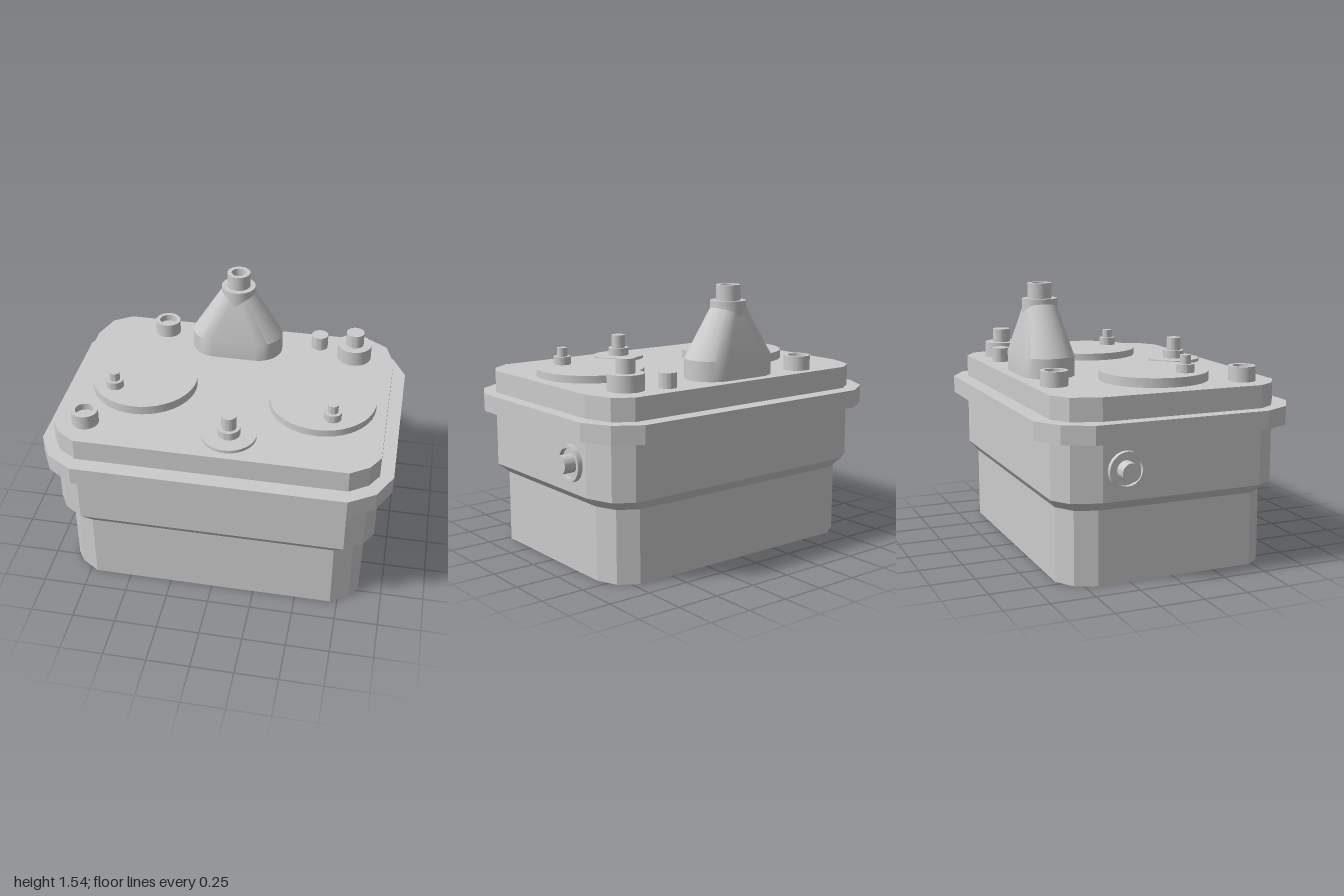
import * as THREE from 'three';
import { toCreasedNormals } from 'three/addons/utils/BufferGeometryUtils.js';

const grey = new THREE.MeshStandardMaterial({ color: 0xcccccc });
const TOP = 1.027; // height of the lid surface

// Closed loft through rings of [x, y, z] points running from +x towards +z, bottom to top
function loft(rings, crease) {
  const pos = [];
  const n = rings[0].length;
  const tri = (a, b, c) => pos.push(...a, ...b, ...c);
  for (let r = 0; r < rings.length - 1; r++) {
    for (let i = 0; i < n; i++) {
      const j = (i + 1) % n;
      const [lo, hi] = [rings[r], rings[r + 1]];
      tri(lo[i], hi[i], lo[j]);
      tri(lo[j], hi[i], hi[j]);
    }
  }
  const middle = ring => [0, 1, 2].map(k => ring.reduce((s, p) => s + p[k], 0) / n);
  const bottom = rings[0], top = rings[rings.length - 1];
  for (let i = 0; i < n; i++) {
    const j = (i + 1) % n;
    tri(middle(bottom), bottom[i], bottom[j]);
    tri(middle(top), top[j], top[i]);
  }
  const g = new THREE.BufferGeometry();
  g.setAttribute('position', new THREE.Float32BufferAttribute(pos, 3));
  g.computeVertexNormals();
  return crease ? toCreasedNormals(g, crease) : g;
}

// Rectangle with two-facet corners; zf and zb are where the sides end at front and back
function outline(y, hx, hz, fx, mx, mz, zf, zb) {
  return [
    [hx, zf], [mx, mz], [fx, hz], [-fx, hz], [-mx, mz], [-hx, zf],
    [-hx, -zb], [-mx, -mz], [-fx, -hz], [fx, -hz], [mx, -mz], [hx, -zb],
  ].map(([x, z]) => [x, y, z]);
}

// Stadium ring: two half circles joined by a straight of half length s
function stadium(y, r, s, cx, cz, steps = 24) {
  const ring = [];
  for (const side of [1, -1]) {
    for (let i = 0; i <= steps; i++) {
      const a = -Math.PI / 2 + Math.PI * i / steps + (side < 0 ? Math.PI : 0);
      ring.push([cx + side * s + r * Math.cos(a), y, cz + r * Math.sin(a)]);
    }
  }
  return ring;
}

// Turned part from [radius, height] points, with sharp edges
function turned(name, points) {
  const lathe = new THREE.LatheGeometry(points.map(p => new THREE.Vector2(...p)), 40);
  const mesh = new THREE.Mesh(toCreasedNormals(lathe, 0.6), grey);
  mesh.name = name;
  return mesh;
}

// Stepped profile: each step is [radius, top height above the base]
function steps(list) {
  const points = [[0, 0]];
  let y = 0;
  for (const [r, h] of list) {
    points.push([r, y], [r, h]);
    y = h;
  }
  return [...points, [0, y]];
}

export function createModel() {
  const model = new THREE.Group();
  const add = (name, geometry) => {
    const mesh = new THREE.Mesh(geometry, grey);
    mesh.name = name;
    model.add(mesh);
  };

  // Case: narrow lower box, short flare, wider upper box
  const lower = y => outline(y, 0.862, 0.618, 0.71, 0.815, 0.55, 0.48, 0.43);
  const upper = y => outline(y, 0.923, 0.66, 0.765, 0.87, 0.59, 0.5, 0.43);
  add('case', loft([lower(0), lower(0.415), upper(0.47), upper(TOP)]));

  // Flange around the case
  const flange = y => outline(y, 1, 0.75, 0.77, 0.918, 0.657, 0.5, 0.5);
  add('flange', loft([flange(0.797), flange(0.9)]));

  // Stepped fittings on the lid
  const fittings = [
    ['leftCover', -0.5, 0.052, [[0.306, 0.052]]],
    ['rightCover', 0.55, 0.065, [[0.308, 0.042]]],
    ['leftCoverTerminal', -0.65, 0.175, [[0.05, 0.098], [0.03, 0.148]]],
    ['rightCoverTerminal', 0.625, 0.245, [[0.05, 0.088], [0.03, 0.138]]],
    ['frontTerminal', 0.075, 0.46, [[0.154, 0.018], [0.063, 0.064], [0.042, 0.143]]],
    ['backPeg', 0.46, -0.535, [[0.05, 0.084]]],
    ['backTerminal', 0.68, -0.458, [[0.102, 0.092], [0.053, 0.173]]],
  ];
  for (const [name, x, z, list] of fittings) {
    const part = turned(name, steps(list));
    part.position.set(x, TOP, z);
    model.add(part);
  }

  // Hollow sockets
  for (const [name, x, z] of [['backSocket', -0.498, -0.535], ['frontSocket', -0.745, 0.475]]) {
    const part = turned(name, [[0.076, 0], [0.076, 0.084], [0.052, 0.084], [0.052, 0.045], [0, 0.045]]);
    part.position.set(x, TOP, z);
    model.add(part);
  }

  // Bushing: oval foot blending into a round neck
  const cx = -0.038, cz = -0.45;
  add('bushing', loft([
    stadium(TOP, 0.15, 0.125, cx, cz),
    stadium(1.14, 0.15, 0.125, cx, cz),
    stadium(1.45, 0.083, 0.0005, cx, cz),
  ], 0.4));

  // Collar and hollow tip of the bushing
  const tip = turned('bushingTip', [
    [0, 1.37], [0.07, 1.37], [0.101, 1.37], [0.101, 1.455], [0.069, 1.455],
    [0.069, 1.542], [0.043, 1.542], [0.043, 1.49], [0, 1.49],
  ]);
  tip.position.set(cx + 0.003, 0, cz);
  model.add(tip);

  // Side terminals: a recessed ring with a pin, mirrored
  for (const side of [1, -1]) {
    const part = turned(side > 0 ? 'leftSideTerminal' : 'rightSideTerminal', [
      [0.102, 0], [0.102, 0.032], [0.083, 0.032], [0.083, 0.006],
      [0.051, 0.006], [0.051, 0.08], [0, 0.08],
    ]);
    part.position.set(side * 0.92, 0.637, -0.3);
    part.rotation.z = -side * Math.PI / 2;
    model.add(part);
  }

  return model;
}
